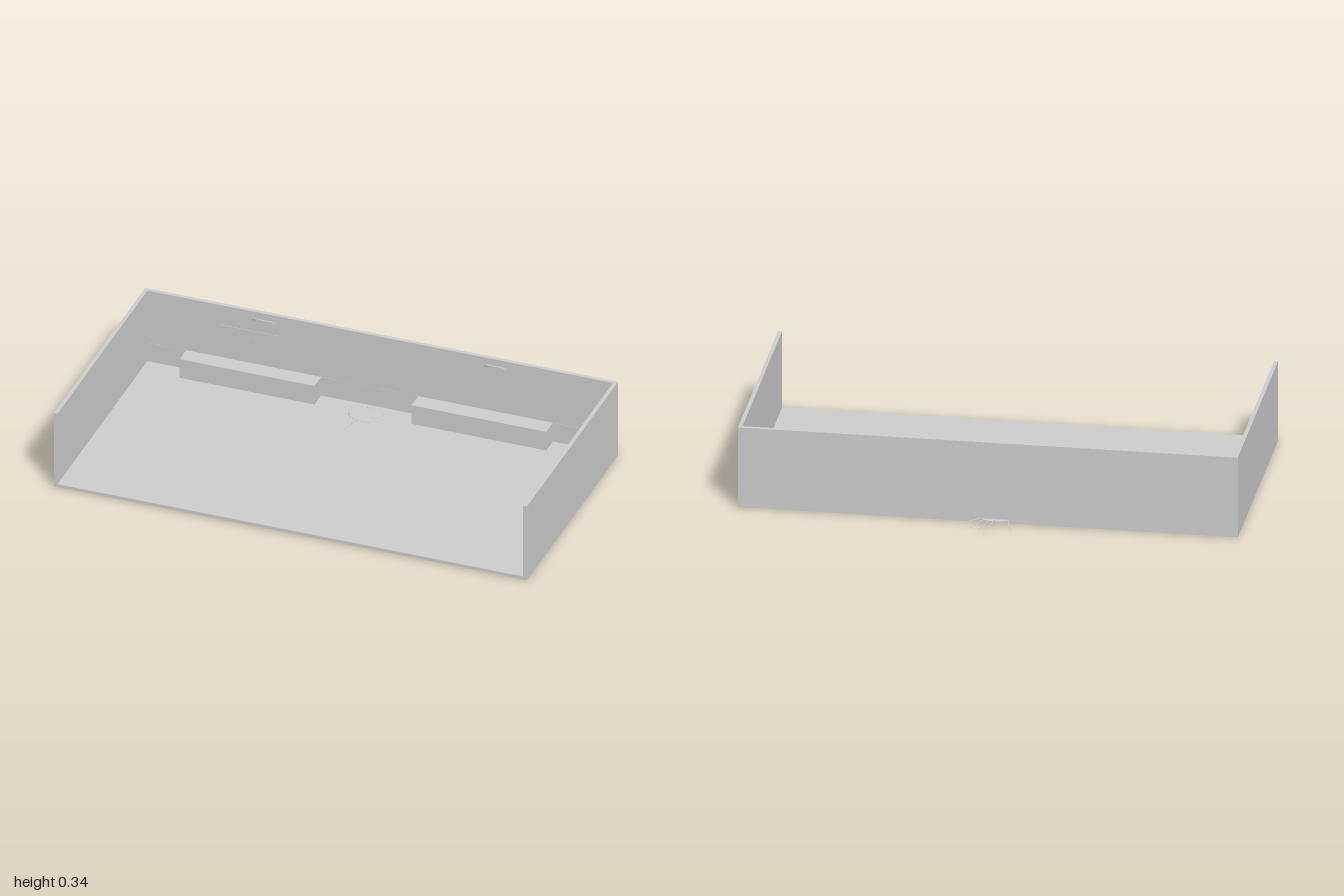
import * as THREE from 'three';

const W = 0.016;            // wall thickness
const H = 0.34;             // wall height
const FLOOR = 0.014;        // floor top
const BACK = -0.44, FRONT = 0.575;
const INNER = BACK + W;     // inner face of the back wall

export function createModel() {
  const root = new THREE.Group();
  const plaster = new THREE.MeshStandardMaterial({ color: 0xcccccc });
  plaster.name = 'light grey';

  function add(name, geometry, x = 0, y = 0, z = 0) {
    const mesh = new THREE.Mesh(geometry, plaster);
    mesh.name = name;
    mesh.position.set(x, y, z);
    root.add(mesh);
    return mesh;
  }
  // Box given by its lower and upper limits
  function block(name, x0, x1, y0, y1, z0, z1) {
    return add(name, new THREE.BoxGeometry(x1 - x0, y1 - y0, z1 - z0),
      (x0 + x1) / 2, (y0 + y1) / 2, (z0 + z1) / 2);
  }

  // Room shell, open at the front and top
  block('floor', -1, 1, 0, FLOOR, BACK, FRONT);
  block('backWall', -1 + W, 1 - W, FLOOR, H, BACK, INNER);
  block('rightWall', -1, -1 + W, FLOOR, H, BACK, FRONT);
  block('leftWall', 1 - W, 1, FLOOR, H, BACK, FRONT);
  block('wainscot', -1 + W, 1 - W, FLOOR, 0.1, INNER, INNER + 0.001);

  // Low benches against the back wall
  block('rightBench', -0.82, -0.25, FLOOR, 0.1, INNER, -0.35);
  block('leftBench', 0.16, 0.73, FLOOR, 0.1, INNER, -0.35);

  // Thin notice panel with small raised spots
  block('wallPanel', -0.68, -0.43, 0.155, 0.25, INNER, INNER + 0.002);
  for (let i = 0; i < 7; i++) {
    const x = -0.6 + (i % 4) * 0.022, y = 0.225 - ((i * 5) % 7) * 0.005;
    const spot = add('panelSpot', new THREE.CylinderGeometry(0.004, 0.004, 0.002, 8), x, y, INNER + 0.002);
    spot.rotation.x = Math.PI / 2;
  }

  // Shallow tapered fittings high on the wall
  const taper = new THREE.Shape([
    new THREE.Vector2(-0.05, 0), new THREE.Vector2(-0.035, -0.006),
    new THREE.Vector2(0.035, -0.006), new THREE.Vector2(0.05, 0),
  ]);
  const fitting = new THREE.ExtrudeGeometry(taper, { depth: 0.012, bevelEnabled: false });
  fitting.rotateX(-Math.PI / 2);
  for (const x of [-0.49, 0.49]) {
    const m = add('wallFitting', fitting, x, 0.298, INNER);
    m.scale.z = 1;
  }

  // Flat splash on the floor, reaching under the back wall
  add('splashPool', new THREE.CylinderGeometry(0.085, 0.085, 0.001, 24), -0.03, FLOOR + 0.0005, -0.38);
  const streaks = [
    [-0.08, -0.44, -0.112, -0.572], [-0.03, -0.44, -0.004, -0.578],
    [-0.012, -0.44, 0.018, -0.56], [0.01, -0.44, 0.06, -0.552],
    [0.03, -0.44, 0.105, -0.512], [-0.055, -0.3, -0.075, -0.195],
  ];
  for (const [x0, z0, x1, z1] of streaks) {
    const length = Math.hypot(x1 - x0, z1 - z0);
    const shape = new THREE.Shape([
      new THREE.Vector2(-0.0025, 0), new THREE.Vector2(0.0025, 0), new THREE.Vector2(0, length),
    ]);
    const g = new THREE.ExtrudeGeometry(shape, { depth: 0.0015, bevelEnabled: false });
    g.rotateX(-Math.PI / 2);
    const m = add('splashStreak', g, x0, FLOOR, z0);
    m.rotation.y = Math.atan2(-(x1 - x0), -(z1 - z0));
  }

  // Small droplets around the splash
  const drops = [
    [-0.125, -0.375, 0.007], [-0.105, -0.36, 0.005], [-0.095, -0.335, 0.006],
    [-0.04, -0.405, 0.007], [-0.02, -0.395, 0.006], [0.015, -0.4, 0.006],
    [0.03, -0.38, 0.007], [0.025, -0.345, 0.006], [0.01, -0.33, 0.005],
    [-0.06, -0.295, 0.005], [-0.058, -0.27, 0.005],
  ];
  for (const [x, z, r] of drops) {
    const g = new THREE.SphereGeometry(r, 8, 4, 0, Math.PI * 2, 0, Math.PI / 2);
    add('droplet', g, x, FLOOR, z);
  }
  return root;
}
